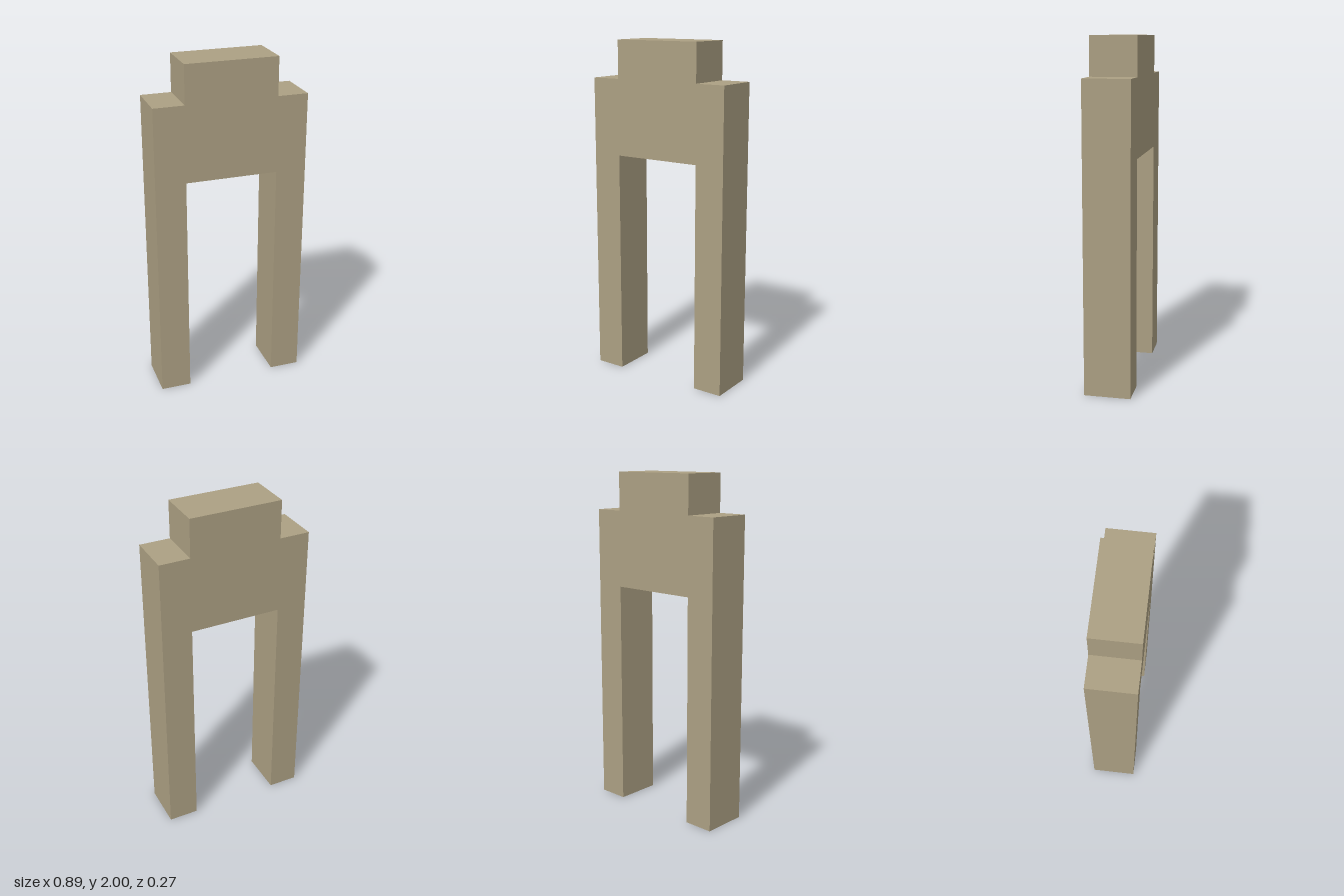
import * as THREE from 'three';

export function createModel() {
  const group = new THREE.Group();
  group.name = 'archway';

  const stone = new THREE.MeshStandardMaterial({ color: 0xaca083 });
  stone.name = 'sandstone';

  const outer = 0.444, inner = 0.267, depth = 0.267;
  const openingTop = 1.333, shoulder = 1.778, top = 2;

  // Right half of the outline, from the opening round to the raised cap
  const half = [
    [inner, openingTop], [inner, 0], [outer, 0],
    [outer, shoulder], [inner, shoulder], [inner, top],
  ];
  const mirrored = half.map(([x, y]) => [-x, y]).reverse();
  const outline = new THREE.Shape([...half, ...mirrored].map(([x, y]) => new THREE.Vector2(x, y)));

  // Two legs, lintel and stepped cap in one solid block
  const geometry = new THREE.ExtrudeGeometry(outline, { depth, bevelEnabled: false });
  geometry.translate(0, 0, -depth / 2);

  const arch = new THREE.Mesh(geometry, stone);
  arch.name = 'steppedArch';
  group.add(arch);
  return group;
}
